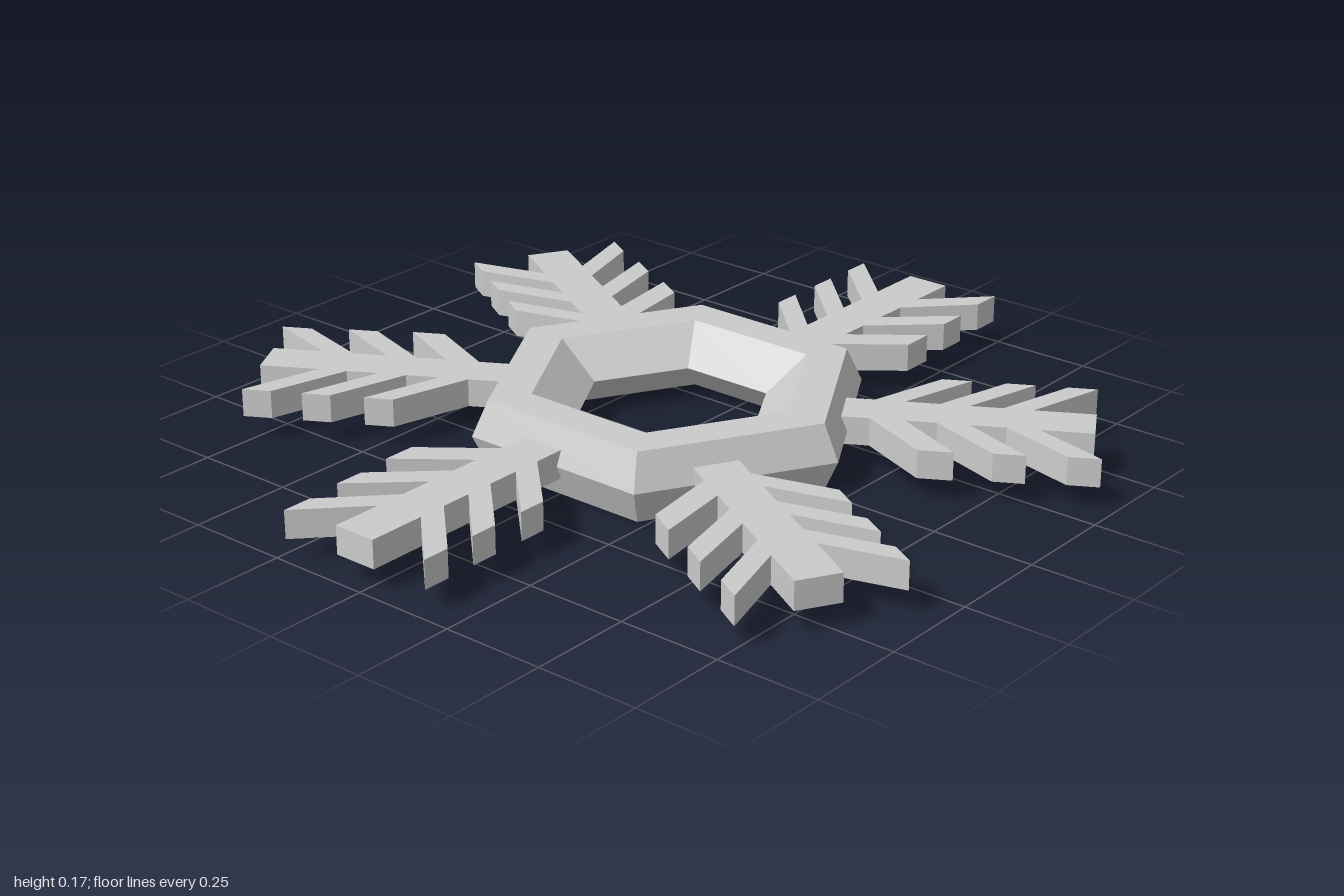
import * as THREE from 'three';

const material = new THREE.MeshStandardMaterial({ color: 0xcccccc, flatShading: true });

// Branches from root to tip: [tip inner u, tip outer u, sideways reach, run back to the stem]
const RIGHT = [[0.595, 0.675, 0.21, 0.122], [0.76, 0.833, 0.2, 0.135], [0.923, 0.997, 0.19, 0.142]];
const LEFT = [[0.616, 0.685, 0.2, 0.142], [0.765, 0.833, 0.2, 0.142], [0.907, 0.976, 0.2, 0.14]];
const HALF = 0.054, ROOT = 0.36, TIP = 0.978;

// Outline points along one side of the stem
function side(branches, sign) {
  const points = [[HALF, ROOT]];
  for (const [inner, outer, reach, run] of branches) {
    points.push([HALF, inner - run], [reach, inner], [reach, outer], [HALF, outer - run]);
  }
  points.push([HALF, TIP]);
  return points.map(([v, u]) => new THREE.Vector2(sign * v, u));
}

// Flat feathered arm pointing to -z
function armGeometry() {
  const shape = new THREE.Shape([...side(RIGHT, 1), ...side(LEFT, -1).reverse()]);
  const geometry = new THREE.ExtrudeGeometry(shape, { depth: 0.068, bevelEnabled: false });
  geometry.rotateX(-Math.PI / 2);
  return geometry.translate(0, 0.052, 0);
}

export function createModel() {
  const model = new THREE.Group();
  model.name = 'snowflake';

  // Hexagonal ring, bevelled inside and outside
  const profile = [
    [0.236, 0.084], [0.337, 0], [0.44, 0], [0.48, 0.084],
    [0.44, 0.168], [0.337, 0.168], [0.236, 0.084],
  ].map(([r, y]) => new THREE.Vector2(r, y));
  const ring = new THREE.Mesh(new THREE.LatheGeometry(profile, 6, Math.PI / 6), material);
  ring.name = 'hexagonRing';
  ring.position.set(0.005, 0, -0.005);
  model.add(ring);

  // Six arms, clockwise from the back, each slightly off the centre line
  const geometry = armGeometry();
  [0.045, 0.01, 0.038, 0.032, 0.054, 0.026].forEach((offset, i) => {
    const pivot = new THREE.Group();
    pivot.name = `armPivot${i + 1}`;
    pivot.rotation.y = -i * Math.PI / 3;
    const arm = new THREE.Mesh(geometry, material);
    arm.name = `arm${i + 1}`;
    arm.position.x = offset;
    pivot.add(arm);
    model.add(pivot);
  });
  return model;
}
